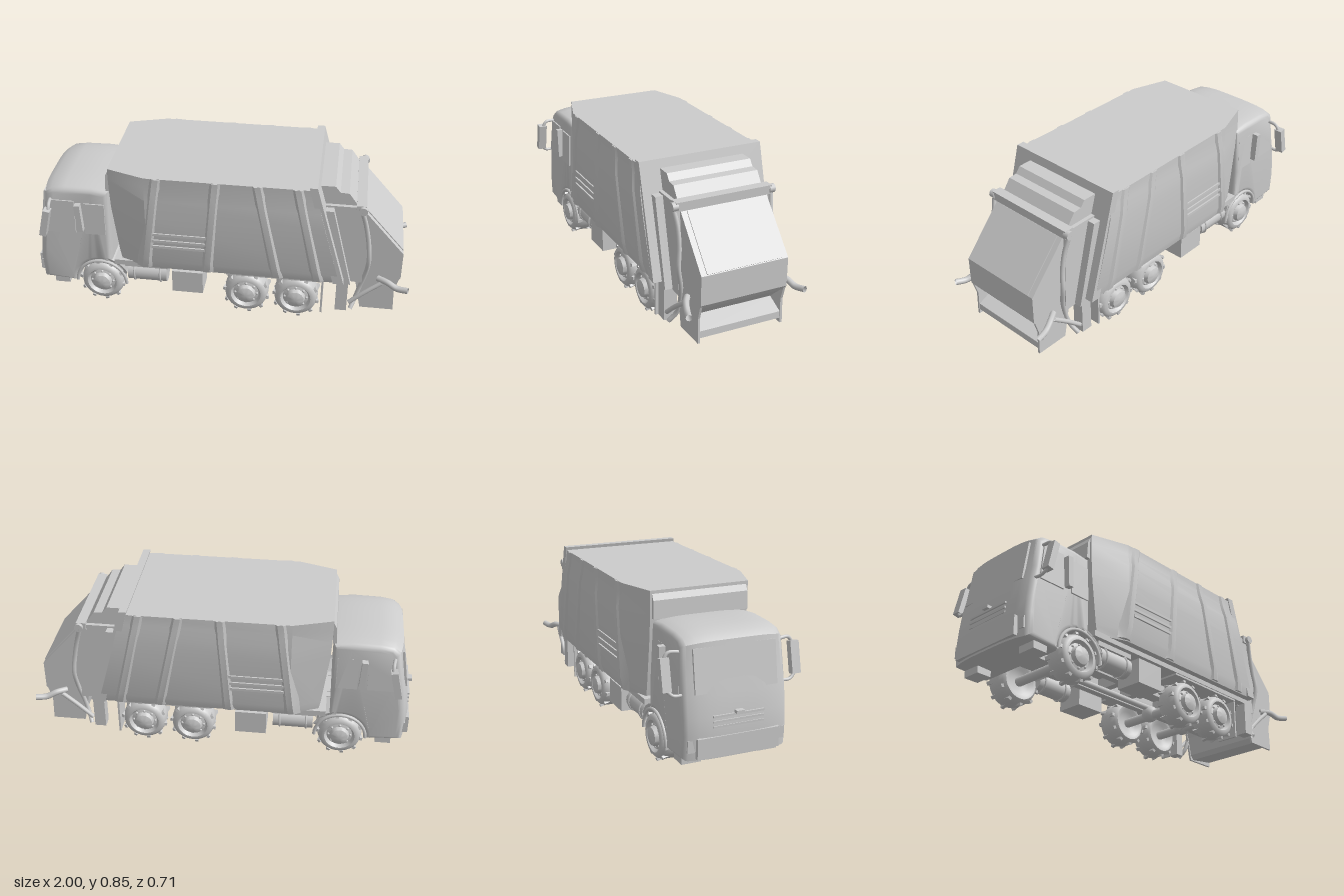
import * as THREE from 'three';
import { toCreasedNormals } from 'three/addons/utils/BufferGeometryUtils.js';

const grey = new THREE.MeshStandardMaterial({ color: 0xcccccc, side: THREE.DoubleSide });
const V = (x, y, z) => new THREE.Vector3(x, y, z);

export function createModel() {
  const truck = new THREE.Group();
  truck.name = 'refuseTruck';

  const add = (name, geo, x = 0, y = 0, z = 0, parent = truck) => {
    const m = new THREE.Mesh(geo, grey);
    m.name = name;
    m.position.set(x, y, z);
    parent.add(m);
    return m;
  };
  // Box given by its min and max on each axis
  const box = (name, x0, x1, y0, y1, z0, z1) =>
    add(name, new THREE.BoxGeometry(x1 - x0, y1 - y0, Math.abs(z1 - z0)), (x0 + x1) / 2, (y0 + y1) / 2, (z0 + z1) / 2);
  // Side profile in x/y, extruded between two z values
  const prism = (name, pts, z0, z1) => {
    const g = new THREE.ExtrudeGeometry(new THREE.Shape(pts.map(p => new THREE.Vector2(...p))),
      { depth: Math.abs(z1 - z0), bevelEnabled: false });
    return add(name, g, 0, 0, Math.min(z0, z1));
  };
  const tube = (name, pts, r) =>
    add(name, new THREE.TubeGeometry(new THREE.CatmullRomCurve3(pts), 28, r, 8, false));
  // Skin through convex loops, capped at both ends and wound outwards
  const loft = (name, loops) => {
    const pos = [];
    const n = loops[0].length;
    const tri = (a, b, c) => pos.push([a, b, c]);
    for (let i = 0; i < loops.length - 1; i++)
      for (let j = 0; j < n; j++) {
        const k = (j + 1) % n, a = loops[i], b = loops[i + 1];
        tri(a[j], a[k], b[k]);
        tri(a[j], b[k], b[j]);
      }
    const end = loops[loops.length - 1];
    for (let j = 1; j < n - 1; j++) {
      tri(loops[0][0], loops[0][j + 1], loops[0][j]);
      tri(end[0], end[j], end[j + 1]);
    }
    const volume = pos.reduce((s, [a, b, c]) => s + a.dot(V().crossVectors(b, c)), 0);
    if (volume < 0) pos.forEach(t => t.reverse());
    const g = new THREE.BufferGeometry().setFromPoints(pos.flat());
    g.computeVertexNormals();
    return add(name, toCreasedNormals(g, 0.35));
  };

  // Cab: side profile with wheel arch, rounded in plan and leaning in at the top
  const cabShape = new THREE.Shape();
  cabShape.moveTo(-0.975, 0.12);
  cabShape.lineTo(-0.765, 0.11);
  cabShape.absarc(-0.63, 0.12, 0.135, Math.PI, 0.35, true);
  [[-0.51, 0.24], [-0.57, 0.26], [-0.57, 0.42], [-0.57, 0.695], [-0.66, 0.706], [-0.8, 0.703], [-0.88, 0.692],
    [-0.92, 0.665], [-0.945, 0.5], [-0.962, 0.42], [-0.975, 0.32], [-0.982, 0.24]].forEach(p => cabShape.lineTo(...p));
  const cabGeo = new THREE.ExtrudeGeometry(cabShape, {
    depth: 0.49, steps: 10, curveSegments: 14, bevelSize: 0.025, bevelOffset: -0.025, bevelThickness: 0.025, bevelSegments: 4 });
  cabGeo.translate(0, 0, -0.245);
  const cp = cabGeo.attributes.position;
  for (let i = 0; i < cp.count; i++) {
    const x = cp.getX(i), y = cp.getY(i), z = cp.getZ(i);
    const front = THREE.MathUtils.clamp((-0.8 - x) / 0.15, 0, 1);
    const lean = Math.max(0, y - 0.42) / 0.28;
    cp.setX(i, x + front * 0.03 * (z / 0.27) ** 4);
    cp.setY(i, y - lean * 0.02 * (z / 0.27) ** 4);
    cp.setZ(i, z * (1 - 0.045 * lean));
  }
  cabGeo.computeVertexNormals();
  add('cab', toCreasedNormals(cabGeo, 0.7));
  // Windscreen, grille and bumper
  const screen = add('windscreen', new THREE.BoxGeometry(0.012, 0.21, 0.42), -0.934, 0.535, 0);
  screen.rotation.z = -0.155;
  for (let i = 0; i < 3; i++) box('grilleSlat', -0.982, -0.96, 0.27 + i * 0.025, 0.28 + i * 0.025, -0.13, 0.13);
  box('bumper', -0.987, -0.95, 0.13, 0.23, -0.21, 0.21);
  box('frontEmblemPlate', -0.998, -0.96, 0.33, 0.345, -0.02, 0.02);

  for (const s of [1, -1]) {
    // Cab side details
    const pane = (name, pts) => {
      const m = prism(name, pts.map(([x, y]) => [x, y - 0.42]), -0.004, 0.004);
      m.position.set(0, 0.42, s * 0.2695);
      m.rotation.x = -s * 0.045;
    };
    pane('doorWindow', [[-0.9, 0.43], [-0.75, 0.43], [-0.75, 0.62], [-0.875, 0.62]]);
    pane('rearWindow', [[-0.7, 0.43], [-0.59, 0.43], [-0.59, 0.61], [-0.7, 0.61]]);
    const mirror = add('mirror', new THREE.BoxGeometry(0.035, 0.155, 0.045), -0.89, 0.525, s * 0.333);
    mirror.rotation.z = -0.22;
    tube('mirrorArm', [V(-0.88, 0.62, s * 0.24), V(-0.87, 0.62, s * 0.31), V(-0.87, 0.58, s * 0.335)], 0.009);
    tube('lowerMirrorArm', [V(-0.92, 0.43, s * 0.25), V(-0.915, 0.43, s * 0.3), V(-0.905, 0.46, s * 0.335)], 0.008);
    const small = box('grabHandle', -0.74, -0.71, 0.45, 0.61, s * 0.262, s * 0.295);
    small.rotation.z = 0.06;
    box('cabStep', -0.9, -0.82, 0.08, 0.13, s * 0.15, s * 0.25);
    box('headlamp', -0.965, -0.92, 0.16, 0.22, s * 0.2, s * 0.25);
    add('wheelArch', new THREE.TorusGeometry(0.135, 0.009, 8, 20, Math.PI), -0.63, 0.12, s * 0.268);
  }

  // Refuse body: plan loops stacked upwards, front corners cut back
  const bodyHalf = [[0.28, -0.51, 0.645, 0.318], [0.33, -0.52, 0.63, 0.33], [0.6, -0.553, 0.555, 0.334],
    [0.7, -0.558, 0.53, 0.334], [0.77, -0.56, 0.51, 0.325], [0.826, -0.56, 0.495, 0.325]];
  loft('refuseBody', bodyHalf.map(([y, xf, xr, w]) => [
    V(xf, y, -0.26), V(-0.36, y, -w), V(xr, y, -w), V(xr, y, w), V(-0.36, y, w), V(xf, y, 0.26)]));
  prism('bodyRearCollar', [[0.465, 0.843], [0.505, 0.843], [0.665, 0.28], [0.61, 0.28]], -0.33, 0.33);
  prism('bodyFrontPanel', [[-0.56, 0.81], [-0.575, 0.78], [-0.58, 0.69], [-0.56, 0.69]], -0.25, 0.25);
  box('bodySill', -0.55, 0.67, 0.255, 0.285, -0.285, 0.285);

  for (const s of [1, -1]) {
    // Leaning side ribs: [top x, bottom x]
    for (const [xt, xb] of [[-0.3, -0.37], [0.0, -0.045], [0.21, 0.32], [0.41, 0.53]])
      loft('bodyRib', [[0.285, 0.33], [0.35, 0.343], [0.7, 0.343], [0.77, 0.334], [0.825, 0.332]].map(([y, w]) => {
        const x = xb + (xt - xb) * (y - 0.285) / 0.54;
        return [V(x - 0.05, y, s * 0.31), V(x + 0.05, y, s * 0.31), V(x + 0.015, y, s * w), V(x - 0.015, y, s * w)];
      }));
    for (const y of [0.42, 0.455, 0.495]) box('sideSlat', -0.33, -0.04, y, y + 0.014, s * 0.32, s * 0.34);
    // Skirt equipment
    const tank = add('airTank', new THREE.CylinderGeometry(0.052, 0.052, 0.21, 18), -0.38, 0.185, s * 0.22);
    tank.rotation.z = Math.PI / 2;
    for (const x of [-0.45, -0.31]) {
      add('tankStrap', new THREE.TorusGeometry(0.053, 0.006, 6, 18), x, 0.185, s * 0.22).rotation.y = Math.PI / 2;
    }
    box('tankBracket', -0.5, -0.27, 0.23, 0.26, s * 0.1, s * 0.26);
    box('storageBox', -0.24, -0.075, 0.11, 0.24, s * 0.14, s * 0.285);
    box('chassisRail', -0.9, 0.76, 0.18, 0.26, s * 0.075, s * 0.115);
    box('rearMudguard', 0.05, 0.55, 0.245, 0.26, s * 0.14, s * 0.28);
    box('mudFlap', 0.552, 0.562, 0.04, 0.25, s * 0.15, s * 0.27);
    box('tailLampPost', 0.63, 0.69, 0.08, 0.26, s * 0.225, s * 0.285);
  }
  for (const x of [-0.45, -0.15, 0.02, 0.28, 0.6]) box('crossMember', x - 0.02, x + 0.02, 0.19, 0.25, -0.1, 0.1);
  box('gearbox', -0.8, -0.46, 0.15, 0.26, -0.07, 0.07);

  // Wheels: lathe tyre with bulging hub, nuts and low tread blocks
  const profile = [[0, -0.045], [0.065, -0.045], [0.08, -0.06], [0.095, -0.063], [0.109, -0.05], [0.116, -0.025], [0.117, 0],
    [0.116, 0.025], [0.109, 0.05], [0.095, 0.063], [0.08, 0.064], [0.068, 0.045], [0.052, 0.05], [0.045, 0.072], [0.025, 0.08], [0, 0.082]];
  const tyre = toCreasedNormals(new THREE.LatheGeometry(profile.map(p => new THREE.Vector2(...p)), 32), 0.8);
  tyre.rotateX(Math.PI / 2);
  for (const x of [-0.63, 0.155, 0.42]) {
    for (const s of [1, -1]) {
      const wheel = new THREE.Group();
      wheel.name = 'wheel';
      wheel.position.set(x, 0.122, s * 0.213);
      if (s < 0) wheel.rotation.y = Math.PI;
      truck.add(wheel);
      add('tyre', tyre, 0, 0, 0, wheel);
      for (let i = 0; i < 20; i++) {
        const a = (i + 0.5) / 20 * Math.PI * 2, side = i % 2 ? 0.03 : -0.03;
        const lug = add('treadBlock', new THREE.BoxGeometry(0.014, 0.018, 0.046),
          Math.cos(a) * 0.112, Math.sin(a) * 0.112, side, wheel);
        lug.rotation.set(0, Math.sign(side) * 0.25, a, 'ZYX');
      }
      for (let i = 0; i < 8; i++) {
        const a = i / 8 * Math.PI * 2;
        add('wheelNut', new THREE.SphereGeometry(0.008, 6, 5), Math.cos(a) * 0.058, Math.sin(a) * 0.058, 0.048, wheel);
      }
    }
    add('axle', new THREE.CylinderGeometry(0.024, 0.024, 0.34, 12), x, 0.12, 0).rotation.x = Math.PI / 2;
    if (x > 0) add('differential', new THREE.SphereGeometry(0.045, 14, 10), x, 0.13, 0);
  }
  add('driveShaft', new THREE.CylinderGeometry(0.016, 0.016, 0.9, 10), -0.03, 0.16, 0).rotation.z = Math.PI / 2;

  // Tailgate: upper housing, side cheeks and rear hopper with its loading recess
  prism('tailgateHousing', [[0.48, 0.8], [0.59, 0.8], [0.615, 0.768], [0.66, 0.765], [0.7, 0.71], [0.7, 0.6], [0.5, 0.6]], -0.225, 0.225);
  prism('tailgateCheeks', [[0.53, 0.7], [0.735, 0.7], [0.75, 0.55], [0.76, 0.24], [0.62, 0.25]], -0.245, 0.245);
  prism('hopperShell', [[0.7, 0.7], [0.745, 0.67], [0.957, 0.43], [0.957, 0.28], [0.94, 0.255], [0.72, 0.255]], -0.23, 0.23);
  const panel = add('hopperBackPanel', new THREE.BoxGeometry(0.31, 0.008, 0.4), 0.852, 0.55, 0);
  panel.rotation.z = Math.atan2(-0.24, 0.212);
  box('hingeBeam', 0.7, 0.75, 0.67, 0.715, -0.255, 0.255);
  prism('loadingTrough', [[0.72, 0.26], [0.94, 0.26], [0.84, 0.17], [0.93, 0.13], [0.932, 0.095], [0.78, 0.075], [0.76, 0.1], [0.74, 0.2]], -0.22, 0.22);

  for (const s of [1, -1]) {
    prism('hopperSidePlate', [[0.72, 0.27], [0.95, 0.27], [0.93, 0.2], [0.935, 0.07], [0.76, 0.07]], s * 0.218, s * 0.23);
    prism('tailgateFlange', [[0.55, 0.69], [0.59, 0.69], [0.7, 0.25], [0.65, 0.25]], s * 0.24, s * 0.285);
    add('hingeKnuckle', new THREE.CylinderGeometry(0.022, 0.022, 0.03, 12), 0.735, 0.693, s * 0.258).rotation.x = Math.PI / 2;
    // Hydraulic line, lower strut and grab bar
    tube('hydraulicLine', [V(0.73, 0.69, s * 0.262), V(0.755, 0.6, s * 0.25), V(0.775, 0.5, s * 0.25),
      V(0.785, 0.4, s * 0.258), V(0.775, 0.3, s * 0.24), V(0.75, 0.2, s * 0.23), V(0.73, 0.13, s * 0.24), V(0.71, 0.085, s * 0.272)], 0.012);
    tube('lowerStrut', [V(0.7, 0.13, s * 0.275), V(0.78, 0.2, s * 0.27), V(0.86, 0.26, s * 0.262)], 0.012);
    tube('grabBar', [V(0.84, 0.275, s * 0.24), V(0.89, 0.275, s * 0.272), V(0.94, 0.255, s * 0.29), V(0.995, 0.26, s * 0.31)], 0.016);
  }
  return truck;
}
